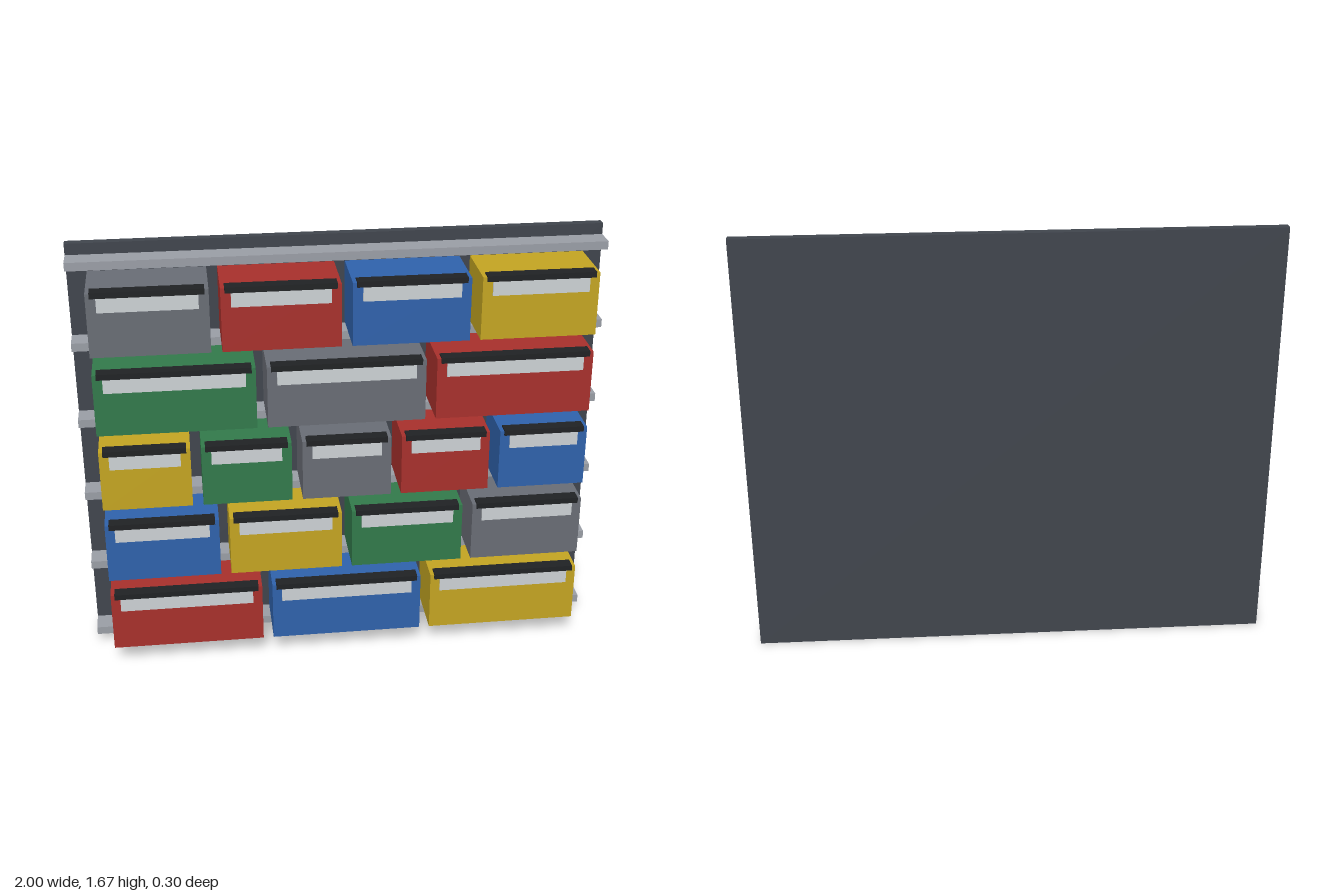
import * as THREE from 'three';

const mat = (color) => new THREE.MeshStandardMaterial({ color });

// Box given by its min and max corners
function box(name, material, [x0, y0, z0], [x1, y1, z1]) {
  const mesh = new THREE.Mesh(new THREE.BoxGeometry(x1 - x0, y1 - y0, z1 - z0), material);
  mesh.position.set((x0 + x1) / 2, (y0 + y1) / 2, (z0 + z1) / 2);
  mesh.name = name;
  return mesh;
}

export function createModel() {
  const root = new THREE.Group();
  root.name = 'wallBinRack';

  const panelMat = mat(0x40454d);
  const railMat = mat(0x9a9ea6);
  const lipMat = mat(0x202224);
  const labelMat = mat(0xcdd2d5);
  // red, blue, yellow, green, grey
  const binMats = [0xa8302c, 0x2f62ac, 0xc4a522, 0x327a4b, 0x696d75].map(mat);

  // Back panel
  root.add(box('backPanel', panelMat, [-1, 0, -0.148], [1, 1.67, -0.114]));

  // Hanging rails
  const pitch = 0.311;
  for (let i = 0; i < 6; i++) {
    const y = 0.04 + i * pitch;
    root.add(box('rail', railMat, [-1, y, -0.114], [1, y + 0.032, -0.028]));
  }

  // Bin with a dark front lip and a label strip
  function makeBin(width, material) {
    const bin = new THREE.Group();
    bin.name = 'bin';
    const h = width / 2;
    bin.add(
      box('binBody', material, [-h, 0, -0.102], [h, 0.242, 0.14]),
      box('binLip', lipMat, [-h + 0.015, 0.226, 0.1], [h - 0.015, 0.248, 0.148]),
      box('binLabel', labelMat, [-h + 0.037, 0.172, 0.138], [h - 0.037, 0.226, 0.147])
    );
    return bin;
  }

  // Rows from the bottom up, each starting one step further in the colour cycle
  const gap = 0.04, span = 1.85;
  [3, 4, 5, 3, 4].forEach((count, row) => {
    const width = (span - gap * (count - 1)) / count;
    for (let i = 0; i < count; i++) {
      const bin = makeBin(width, binMats[(row + i) % 5]);
      bin.position.set(-span / 2 + width / 2 + i * (width + gap), 0.082 + row * pitch, 0);
      root.add(bin);
    }
  });

  return root;
}
